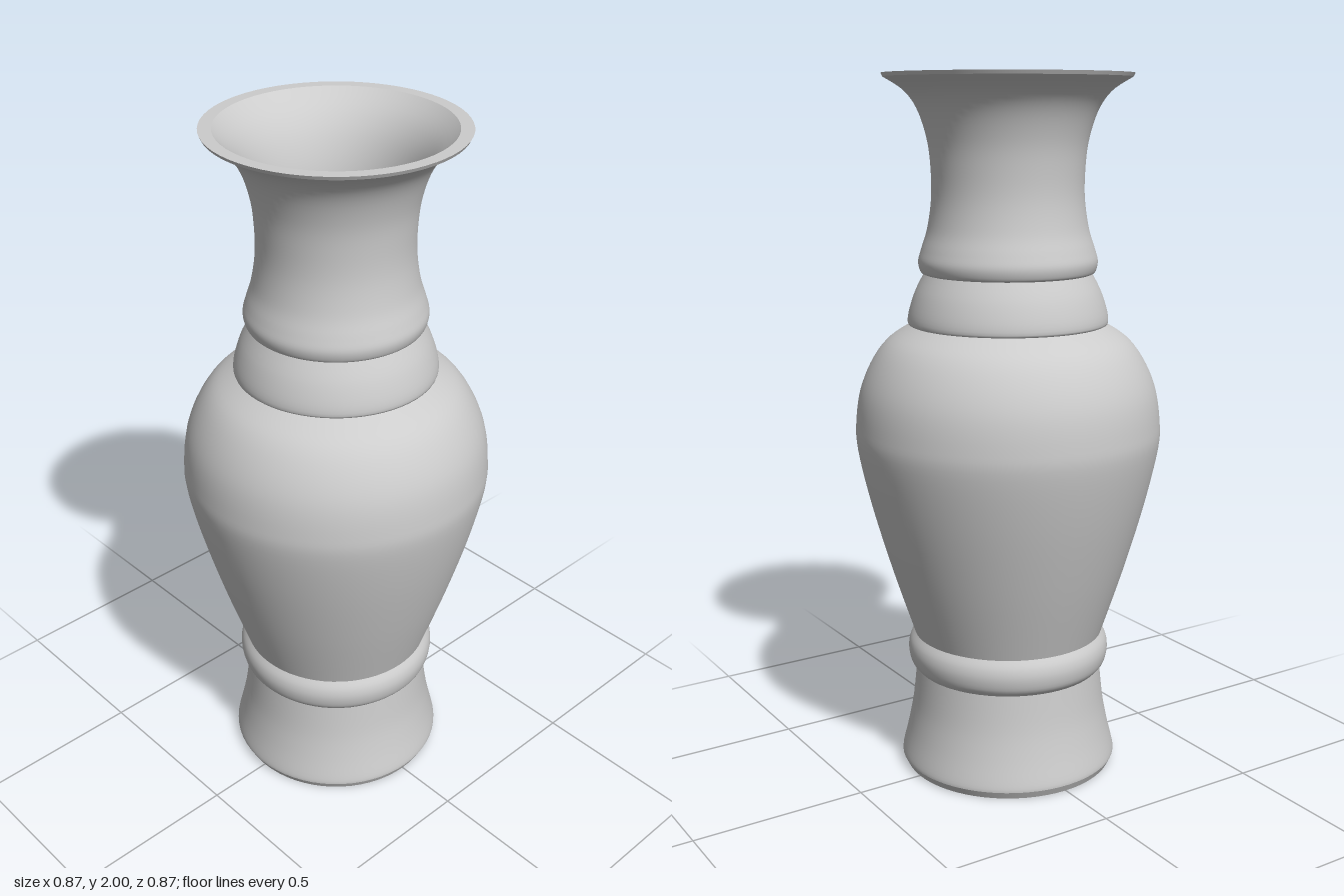
import * as THREE from 'three';

const glaze = new THREE.MeshStandardMaterial({ color: 0xcccccc });
glaze.name = 'grey glaze';

// Revolves a profile of [radius, height] points; curved profiles are splined.
function turned(name, profile, samples = 0) {
  let points = profile.map(([r, y]) => new THREE.Vector2(r, y));
  if (samples) points = new THREE.SplineCurve(points).getPoints(samples);
  points.forEach((p) => { p.x = Math.max(p.x, 0); });
  const mesh = new THREE.Mesh(new THREE.LatheGeometry(points, 64), glaze);
  mesh.name = name;
  return mesh;
}

export function createModel() {
  const vase = new THREE.Group();
  vase.name = 'vase';

  // Underside with a shallow recess inside the foot ring
  vase.add(
    turned('recessFace', [[0, 0.035], [0.225, 0.035]]),
    turned('recessWall', [[0.225, 0.035], [0.24, 0]]),
    turned('footRing', [[0.24, 0], [0.306, 0]]),
    turned('footBevel', [[0.306, 0], [0.317, 0.022]]),
  );

  // Outside, from the foot up to the flared lip
  vase.add(
    turned('foot', [[0.317, 0.022], [0.315, 0.04], [0.298, 0.11], [0.283, 0.19], [0.272, 0.295]], 16),
    turned('lowerBand', [[0.272, 0.295], [0.288, 0.315], [0.295, 0.35], [0.29, 0.38], [0.276, 0.403]], 14),
    turned('body', [[0.276, 0.403], [0.34, 0.6], [0.397, 0.8], [0.432, 0.96], [0.434, 1.04],
      [0.42, 1.13], [0.386, 1.21], [0.34, 1.27], [0.27, 1.316]], 40),
    turned('collar', [[0.27, 1.313], [0.283, 1.317], [0.28, 1.35], [0.262, 1.405], [0.235, 1.458]], 14),
    turned('neck', [[0.235, 1.455], [0.246, 1.462], [0.252, 1.49], [0.243, 1.525], [0.226, 1.58],
      [0.214, 1.66], [0.214, 1.74], [0.223, 1.82], [0.248, 1.9], [0.285, 1.953], [0.342, 1.99]], 48),
    turned('lipEdge', [[0.342, 1.99], [0.347, 2]]),
    turned('rim', [[0.347, 2], [0.312, 2]]),
  );

  // Hollow inside and its floor
  vase.add(
    turned('innerWall', [[0.312, 2], [0.26, 1.95], [0.222, 1.89], [0.196, 1.81], [0.186, 1.72],
      [0.19, 1.62], [0.212, 1.5], [0.24, 1.37], [0.3, 1.26], [0.365, 1.18], [0.402, 1.02],
      [0.367, 0.8], [0.31, 0.6], [0.25, 0.4], [0.242, 0.28], [0.26, 0.07]], 60),
    turned('innerFloor', [[0.26, 0.07], [0, 0.07]]),
  );
  return vase;
}
